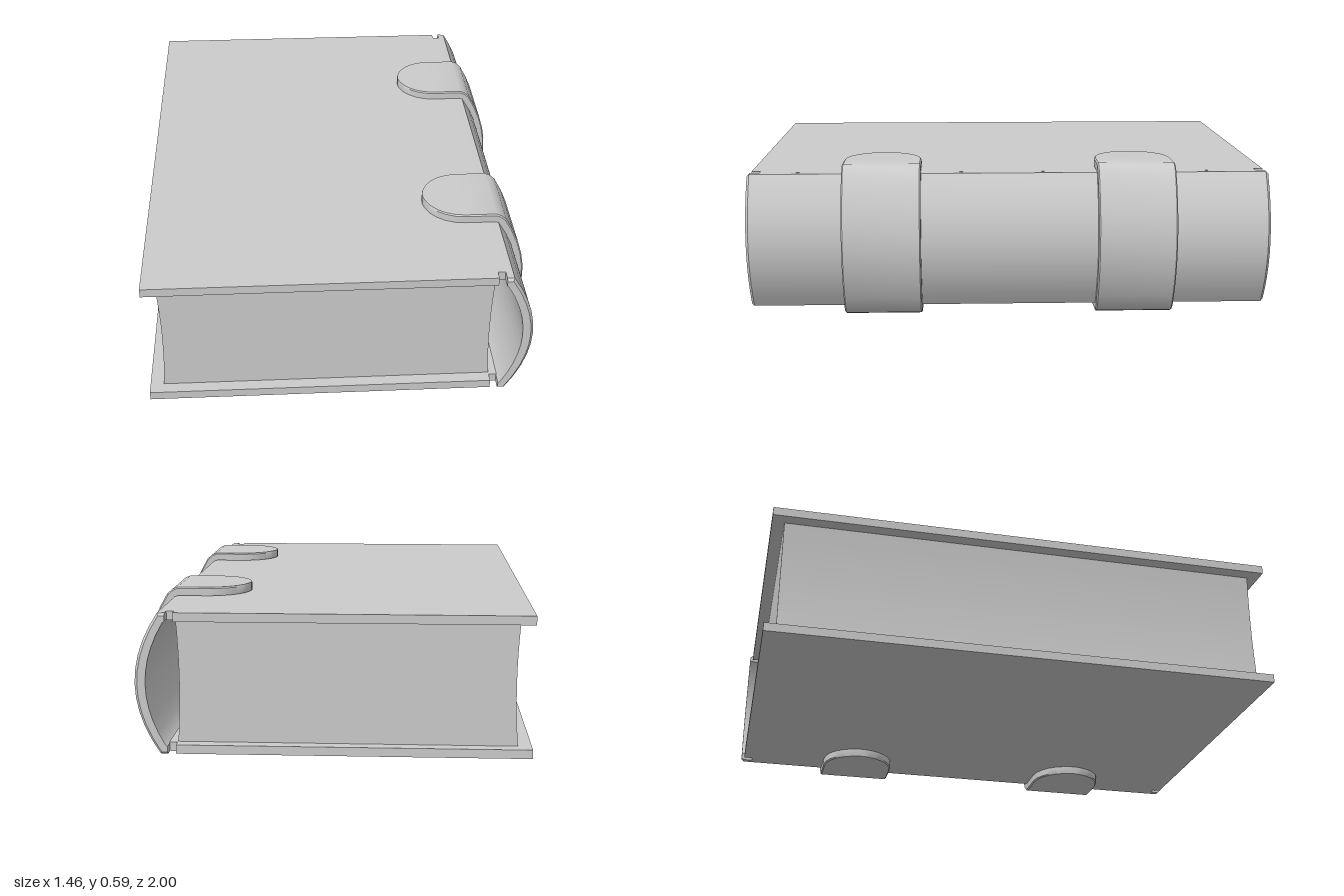
import * as THREE from 'three';
import { mergeVertices, toCreasedNormals } from 'three/addons/utils/BufferGeometryUtils.js';

const MID = 0.295; // height of the book's middle plane
const material = new THREE.MeshStandardMaterial({ color: 0xcccccc });

function part(name, geometry) {
  const mesh = new THREE.Mesh(geometry, material);
  mesh.name = name;
  return mesh;
}

// Bent band running from top to bottom: each station holds an outer point,
// an inner point and a half width; the outer rim is slightly chamfered.
function band(stations, chamfer) {
  const positions = [], index = [], n = 6;
  for (const { o, i, w } of stations) {
    const k = chamfer / Math.hypot(o[0] - i[0], o[1] - i[1]);
    const m = [o[0] + (i[0] - o[0]) * k, o[1] + (i[1] - o[1]) * k];
    for (const [p, z] of [[i, -w], [m, -w], [o, chamfer - w], [o, w - chamfer], [m, w], [i, w]]) {
      positions.push(p[0], p[1] + MID, z);
    }
  }
  const last = (stations.length - 1) * n;
  for (let s = 0; s < last; s += n) {
    for (let k = 0; k < n; k++) {
      const a = s + k, b = s + (k + 1) % n;
      index.push(a, b, a + n, b, b + n, a + n);
    }
  }
  for (let k = 1; k < n - 1; k++) {
    index.push(0, k + 1, k, last, last + k, last + k + 1);
  }
  const geometry = new THREE.BufferGeometry();
  geometry.setAttribute('position', new THREE.Float32BufferAttribute(positions, 3));
  geometry.setIndex(index);
  return toCreasedNormals(geometry, 0.6);
}

// Bulged curve: x at the middle, x at the ends, half height, t from 1 (top) to -1
const bulge = (xMid, xEnd, h, t) => [xMid - (xMid - xEnd) * t * t, h * t];

// Mirrors the upper stations to the lower half
function withMirror(upper, arc) {
  const flip = ({ o, i, w }) => ({ o: [o[0], -o[1]], i: [i[0], -i[1]], w });
  return [...upper, ...arc, ...upper.map(flip).reverse()];
}

function arcStations(outer, inner, w, segments) {
  const list = [];
  for (let s = 0; s <= segments; s++) {
    const t = 1 - (2 * s) / segments;
    list.push({ o: bulge(...outer, t), i: bulge(...inner, t), w });
  }
  return list;
}

function spineGeometry() {
  const lip = [{ o: [0.585, 0.26], i: [0.585, 0.23], w: 0.998 }];
  return band(withMirror(lip, arcStations([0.7, 0.612, 0.259], [0.66, 0.592, 0.225], 0.998, 10)), 0.01);
}

function strapGeometry() {
  const r = 0.15, centre = 0.485, upper = [];
  // Rounded tongue
  for (let s = 0; s <= 6; s++) {
    const a = (s / 6) * Math.PI / 2;
    const x = centre - r * Math.cos(a);
    upper.push({ o: [x, 0.295], i: [x, 0.262], w: Math.max(r * Math.sin(a), 0.015) });
  }
  // Shoulder bending over the spine edge
  upper.push({ o: [0.602, 0.295], i: [0.598, 0.262], w: r });
  upper.push({ o: [0.622, 0.287], i: [0.608, 0.26], w: r });
  return band(withMirror(upper, arcStations([0.726, 0.643, 0.269], [0.695, 0.614, 0.25], r, 10)), 0.005);
}

// Board with small notches beside the spine
function coverGeometry() {
  const shape = new THREE.Shape([
    [-0.73, -0.987], [0.557, -0.987], [0.557, -0.952], [0.587, -0.952],
    [0.587, 0.952], [0.557, 0.952], [0.557, 0.987], [-0.73, 0.987],
  ].map(([x, y]) => new THREE.Vector2(x, y)));
  return new THREE.ExtrudeGeometry(shape, { depth: 0.033, bevelEnabled: false })
    .rotateX(-Math.PI / 2).translate(0, -0.0165, 0);
}

// Page block with gently hollow long sides
function pagesGeometry() {
  const h = 0.23;
  const shape = new THREE.Shape();
  shape.moveTo(-0.68, MID - h);
  shape.lineTo(0.556, MID - h);
  shape.quadraticCurveTo(0.538, MID, 0.556, MID + h);
  shape.lineTo(-0.68, MID + h);
  shape.quadraticCurveTo(-0.66, MID, -0.68, MID - h);
  const geometry = new THREE.ExtrudeGeometry(shape, { depth: 1.88, bevelEnabled: false, curveSegments: 8 })
    .translate(0, 0, -0.94);
  geometry.deleteAttribute('normal');
  geometry.deleteAttribute('uv');
  return toCreasedNormals(mergeVertices(geometry), 0.5);
}

export function createModel() {
  const book = new THREE.Group();
  book.name = 'book';
  book.add(part('pages', pagesGeometry()), part('spine', spineGeometry()));
  for (const side of [1, -1]) {
    const cover = part(side > 0 ? 'topCover' : 'bottomCover', coverGeometry());
    cover.position.y = MID + side * 0.2435;
    const strap = part(side > 0 ? 'frontStrap' : 'backStrap', strapGeometry());
    strap.position.z = side * 0.487;
    book.add(cover, strap);
  }
  return book;
}
